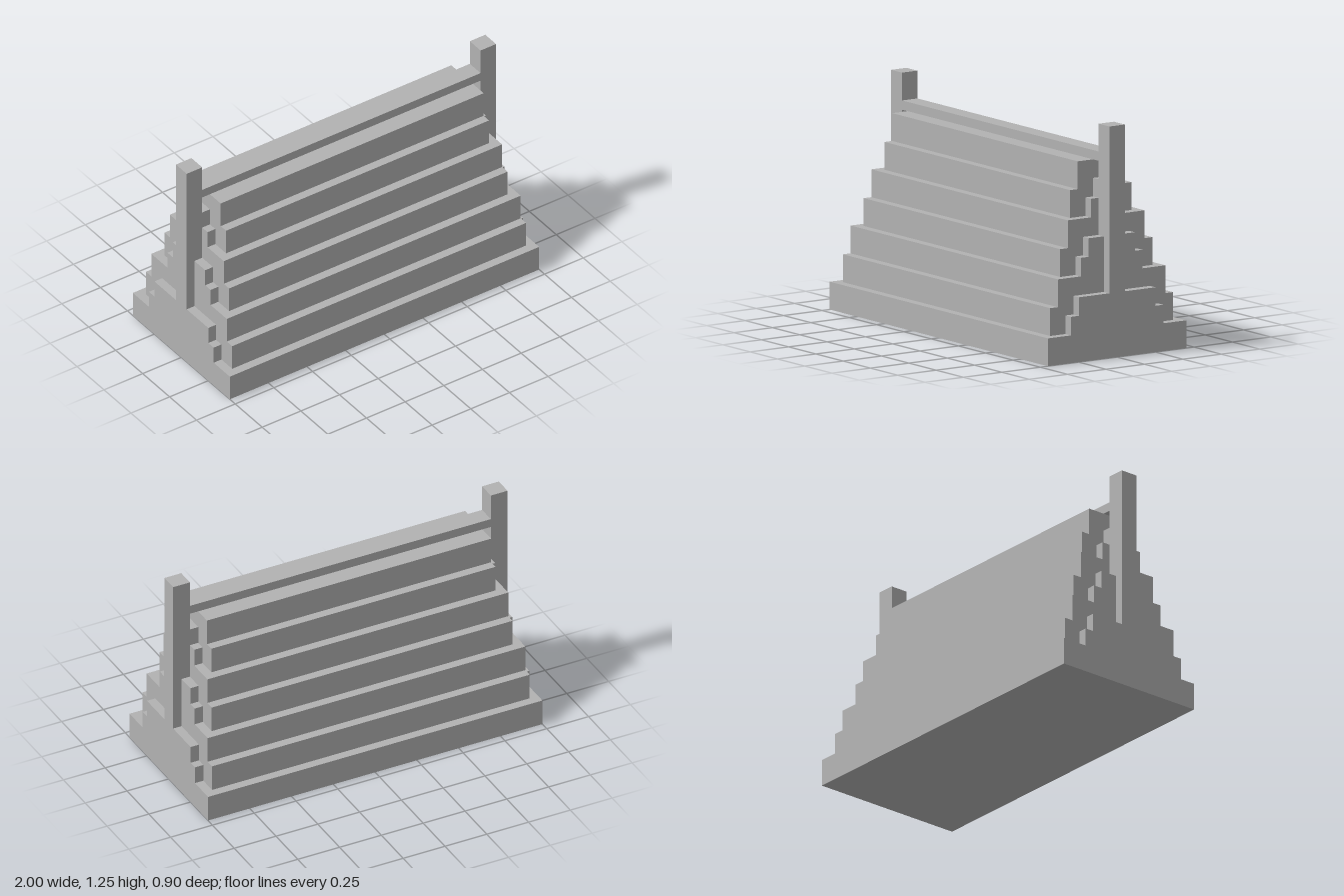
import * as THREE from 'three';

const stone = new THREE.MeshStandardMaterial({ color: 0xb2b2b2 });
stone.name = 'grey stone';

function box(name, x0, x1, y0, y1, halfDepth) {
  const mesh = new THREE.Mesh(new THREE.BoxGeometry(x1 - x0, y1 - y0, halfDepth * 2), stone);
  mesh.position.set((x0 + x1) / 2, (y0 + y1) / 2, 0);
  mesh.name = name;
  return mesh;
}

// Two-step symmetric profile in z/y, extruded along x from x0 to x1
function stepped(name, x0, x1, y0, rise, halfDepth) {
  const inner = halfDepth - 0.05;
  const y1 = y0 + rise, y2 = y1 + rise;
  const shape = new THREE.Shape([
    [-halfDepth, y0], [halfDepth, y0], [halfDepth, y1], [inner, y1],
    [inner, y2], [-inner, y2], [-inner, y1], [-halfDepth, y1],
  ].map(([z, y]) => new THREE.Vector2(z, y)));
  const geometry = new THREE.ExtrudeGeometry(shape, { depth: x1 - x0, bevelEnabled: false });
  geometry.rotateY(Math.PI / 2);
  geometry.translate(x0, 0, 0);
  const mesh = new THREE.Mesh(geometry, stone);
  mesh.name = name;
  return mesh;
}

export function createModel() {
  const model = new THREE.Group();
  model.name = 'steppedRoof';

  model.add(box('base', -1, 1, 0, 0.15, 0.45));

  // Three roof tiers, each with two courses and a small stepped gable at either end
  for (let i = 0; i < 3; i++) {
    const x = 0.95 - i * 0.05;
    const y = 0.15 + i * 0.3;
    model.add(stepped('roofTier', -x, x, y, 0.15, 0.4 - i * 0.1));
    model.add(stepped('leftGable', x, x + 0.05, y, 0.1, 0.3 - i * 0.1));
    model.add(stepped('rightGable', -x - 0.05, -x, y, 0.1, 0.3 - i * 0.1));
  }

  // Ridge beam spanning between the end posts
  model.add(box('ridgeBeam', -0.9, 0.9, 1.05, 1.1, 0.05));
  model.add(box('leftPost', 0.9, 1, 0.15, 1.25, 0.05));
  model.add(box('rightPost', -1, -0.9, 0.15, 1.25, 0.05));

  return model;
}
